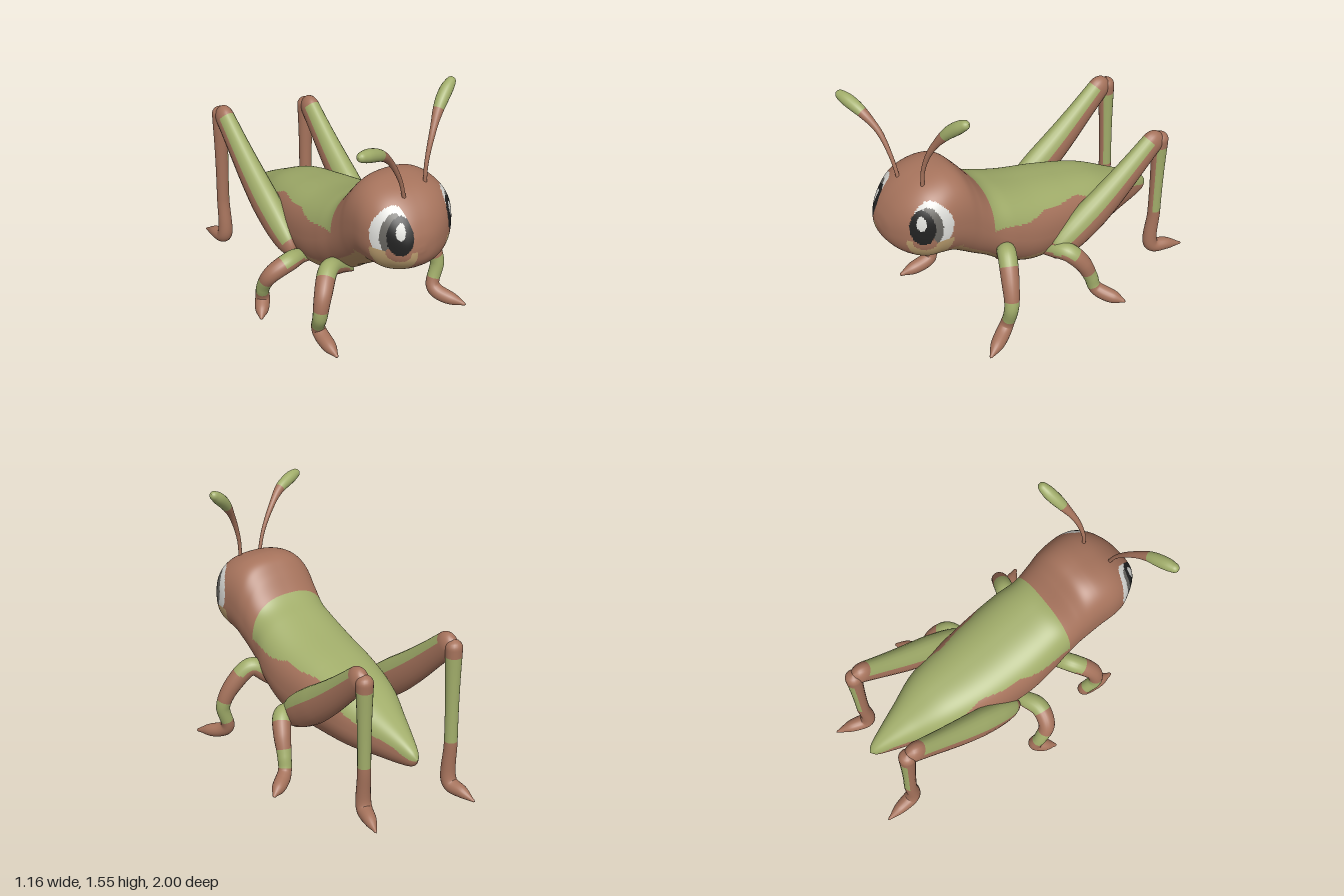
import * as THREE from 'three';

const mat = (name, color) => {
  const m = new THREE.MeshStandardMaterial({ color });
  m.name = name;
  return m;
};
const materials = [
  mat('brown', 0xa6735c), mat('green', 0xa1ad6a), mat('bellyTan', 0xb18d62), mat('cheekTan', 0xc0a272),
  mat('eyeWhite', 0xdcdcd8), mat('irisGrey', 0x66645f), mat('pupilBlack', 0x222222),
];
const [BROWN, GREEN, BELLY, CHEEK, WHITE, GREY, BLACK] = [0, 1, 2, 3, 4, 5, 6];
const V = (x, y, z) => new THREE.Vector3(x, y, z);

// Smooth interpolation through a list of numbers, t in 0..1
function spline(list, t) {
  const n = list.length - 1, i = Math.min(Math.floor(t * n), n - 1), f = t * n - i;
  const b = list[i], c = list[i + 1], a = list[Math.max(i - 1, 0)], d = list[Math.min(i + 2, n)];
  return b + 0.5 * f * (c - a + f * (2 * a - 5 * b + 4 * c - d + f * (3 * (b - c) + d - a)));
}

// Skin over rings; paint(centroid, outward, t) picks the colour of each face
function skin(name, rings, centres, paint) {
  const pos = [], faces = materials.map(() => []), n = rings[0].length;
  rings.forEach((ring) => ring.forEach((p) => pos.push(p.x, p.y, p.z)));
  for (let i = 0; i < rings.length - 1; i++) {
    for (let j = 0; j < n; j++) {
      const k = (j + 1) % n;
      const mid = V(0, 0, 0).add(rings[i][j]).add(rings[i][k]).add(rings[i + 1][j]).add(rings[i + 1][k]).multiplyScalar(0.25);
      const out = mid.clone().sub(centres[i]).normalize();
      const a = i * n + j, b = i * n + k;
      faces[paint(mid, out, i / (rings.length - 1))].push(a, b, b + n, a, b + n, a + n);
    }
  }
  const geo = new THREE.BufferGeometry();
  geo.setAttribute('position', new THREE.Float32BufferAttribute(pos, 3));
  const index = [], used = [];
  faces.forEach((f, m) => {
    if (!f.length) return;
    geo.addGroup(index.length, f.length, used.length);
    used.push(materials[m]);
    for (const v of f) index.push(v);
  });
  geo.setIndex(index);
  geo.computeVertexNormals();
  const mesh = new THREE.Mesh(geo, used);
  mesh.name = name;
  return mesh;
}

// Tapered limb along a curve, with rounded ends
function limb(name, points, radii, paint, flat = 1) {
  const steps = 120, sides = 20;
  const curve = new THREE.CatmullRomCurve3(points.map((p) => V(...p)));
  const frames = curve.computeFrenetFrames(steps, false), length = curve.getLength();
  const rings = [], centres = [];
  for (let i = 0; i <= steps; i++) {
    const c = curve.getPointAt(i / steps), ring = [];
    let r = Math.max(spline(radii, i / steps), 0.0005);
    const toEnd = Math.min(i, steps - i) / steps * length;
    if (toEnd < r) r = Math.max(Math.sqrt(toEnd * (2 * r - toEnd)), 0.0005);
    for (let j = 0; j < sides; j++) {
      const a = (j / sides) * Math.PI * 2;
      const o = V(0, 0, 0).addScaledVector(frames.normals[i], r * Math.cos(a)).addScaledVector(frames.binormals[i], r * Math.sin(a));
      o.x *= flat;
      const p = o.add(c);
      p.y = Math.max(p.y, 0);
      ring.push(p);
    }
    rings.push(ring);
    centres.push(c);
  }
  return skin(name, rings, centres, paint);
}

// Body stations from tail to face: z, top, bottom, half width, centre x
const stations = [
  [-0.875, 0.3405, 0.3395, 0.0005, 0], [-0.84, 0.39, 0.29, 0.035, 0], [-0.75, 0.45, 0.265, 0.075, 0],
  [-0.6, 0.53, 0.245, 0.135, 0], [-0.4, 0.625, 0.222, 0.215, 0], [-0.15, 0.69, 0.208, 0.265, -0.01],
  [0.1, 0.75, 0.205, 0.29, -0.01], [0.28, 0.815, 0.275, 0.285, -0.01], [0.4, 0.875, 0.36, 0.268, -0.015],
  [0.5, 0.99, 0.425, 0.268, -0.015], [0.57, 1.06, 0.475, 0.275, -0.015], [0.65, 1.08, 0.525, 0.28, -0.015],
  [0.74, 1.068, 0.55, 0.282, -0.015], [0.82, 1.04, 0.56, 0.266, -0.015], [0.89, 0.99, 0.59, 0.222, -0.02],
  [0.945, 0.925, 0.63, 0.165, -0.035], [0.982, 0.85, 0.68, 0.098, -0.055], [0.996, 0.79, 0.735, 0.035, -0.07],
  [0.998, 0.7605, 0.7595, 0.0005, -0.07],
];
const inside = (u, y, cu, cy, ru, ry) => ((u - cu) / ru) ** 2 + ((y - cy) / ry) ** 2 < 1;

function paintBody(p) {
  const { x, y, z } = p;
  if (z > 0.62) {
    // Face: u is the angle away from the slightly turned nose
    const u = Math.abs(Math.atan2(x + 0.02, z - 0.72) - 0.19);
    if (inside(u, y, 0.79, 0.875, 0.1, 0.045)) return WHITE;
    if (inside(u, y, 0.8, 0.845, 0.27, 0.107)) return BLACK;
    if (inside(u, y, 0.83, 0.745, 0.25, 0.05)) return BROWN;
    if (inside(u, y, 0.95, 0.845, 0.27, 0.12) && y > 0.755) return GREY;
    if (inside(u, y, 1.0, 0.85, 0.45, 0.145) && y > 0.755) return WHITE;
    if (inside(u, y, 0.95, 0.73, 0.5, 0.135) && y < 0.755) return CHEEK;
    return y < 0.61 + 0.03 * Math.min(u, 1) ? BELLY : BROWN;
  }
  // Green back with a wavy lower edge that falls towards the tail
  const edge = spline([0.34, 0.385, 0.44, 0.49, 0.57, 0.62, 0.635, 0.635, 0.64, 0.655], Math.min((z + 0.88) / 1.3, 1));
  if (z < 0.42 && y > edge + 0.008 * Math.sin(z * 24)) return GREEN;
  if (z > -0.03 && y < 0.36 + Math.max(0, z - 0.28) * 0.75) return BELLY;
  return BROWN;
}

function makeBody() {
  const rings = [], centres = [], steps = 220, sides = 150;
  const round = (v, e) => Math.sign(v) * Math.abs(v) ** e;
  for (let i = 0; i <= steps; i++) {
    const [z, top, bottom, w, cx] = [0, 1, 2, 3, 4].map((k) => spline(stations.map((s) => s[k]), i / steps));
    const cy = (top + bottom) / 2, h = (top - bottom) / 2, ring = [];
    // Boxier back, rounder belly, fuller jaw
    const under = 1 - 0.14 * THREE.MathUtils.smoothstep(z, 0.3, 0.6);
    for (let j = 0; j < sides; j++) {
      const a = (j / sides) * Math.PI * 2, e = Math.sin(a) > 0 ? 0.8 : under;
      ring.push(V(cx + w * round(Math.cos(a), e), cy + h * round(Math.sin(a), e), z));
    }
    rings.push(ring);
    centres.push(V(cx, cy, z));
  }
  return skin('bodyAndHead', rings, centres, paintBody);
}

export function createModel() {
  const model = new THREE.Group();
  model.name = 'grasshopper';
  model.add(makeBody());

  // Antennae with green clubs
  const antennae = {
    leftAntenna: [[0.09, 1.0, 0.79], [0.1, 1.14, 0.785], [0.15, 1.29, 0.76], [0.23, 1.42, 0.71], [0.3, 1.49, 0.675], [0.365, 1.54, 0.65]],
    rightAntenna: [[-0.08, 1.0, 0.84], [-0.12, 1.13, 0.855], [-0.2, 1.27, 0.88], [-0.29, 1.355, 0.92], [-0.38, 1.395, 0.95], [-0.475, 1.42, 0.98]],
  };
  for (const [name, path] of Object.entries(antennae)) {
    model.add(limb(name, path, [0.011, 0.011, 0.012, 0.014, 0.017, 0.021, 0.029, 0.036, 0.036, 0.024],
      (p, d, t) => (t > 0.69 ? GREEN : BROWN)));
  }

  // Front and middle legs: hip, knee, shin, ankle, toe
  const smallLegs = {
    leftFrontLeg: [[0.08, 0.3, 0.3], [0.2, 0.43, 0.33], [0.29, 0.505, 0.37], [0.4, 0.39, 0.42], [0.455, 0.25, 0.45], [0.42, 0.085, 0.47], [0.53, 0.015, 0.65]],
    rightFrontLeg: [[-0.06, 0.29, 0.32], [-0.19, 0.38, 0.37], [-0.3, 0.425, 0.43], [-0.4, 0.33, 0.525], [-0.425, 0.21, 0.535], [-0.4, 0.08, 0.48], [-0.41, 0.015, 0.695]],
    leftMiddleLeg: [[0.12, 0.27, 0.05], [0.24, 0.34, 0.02], [0.34, 0.36, -0.03], [0.39, 0.28, -0.1], [0.41, 0.17, -0.15], [0.43, 0.075, -0.18], [0.58, 0.015, -0.29]],
    rightMiddleLeg: [[-0.15, 0.27, 0.05], [-0.28, 0.33, 0.08], [-0.39, 0.34, 0.12], [-0.49, 0.28, 0.1], [-0.51, 0.17, 0.04], [-0.5, 0.075, 0.015], [-0.575, 0.015, 0.125]],
  };
  for (const [name, path] of Object.entries(smallLegs)) {
    model.add(limb(name, path, [0.012, 0.03, 0.046, 0.055, 0.056, 0.053, 0.047, 0.042, 0.04, 0.044, 0.038, 0.008],
      (p, d, t) => ((t < 0.38 && d.y > 0.05) || (t > 0.57 && t < 0.71) ? GREEN : BROWN)));
  }

  // Jumping legs: thick thigh, thin shin with a pointed foot
  const hindLegs = [
    ['left', [0.27, 0.31, 0.04], [0.28, 0.905, -0.745], [0.265, 0.06, -0.735], [0.325, 0.015, -0.93]],
    ['right', [-0.29, 0.32, 0.03], [-0.31, 0.97, -0.785], [-0.305, 0.06, -0.8], [-0.33, 0.015, -1.0]],
  ];
  for (const [side, hip, knee, ankle, toe] of hindLegs) {
    const between = (a, b, t) => a.map((v, i) => v + (b[i] - v) * t);
    const middle = between(hip, knee, 0.5);
    middle[1] -= 0.03;
    const leg = new THREE.Group();
    leg.name = side + 'HindLeg';
    leg.add(limb(side + 'Thigh', [hip, middle, knee],
      [0.05, 0.085, 0.103, 0.11, 0.112, 0.108, 0.102, 0.095, 0.088, 0.082, 0.077, 0.072],
      (p, d, t) => (t > 0.06 && t < 0.91 && d.y * 0.8 + d.z * 0.6 > 0.55 ? GREEN : BROWN), 0.7));
    leg.add(limb(side + 'Shin', [knee, between(knee, ankle, 0.35), between(knee, ankle, 0.7), ankle, between(ankle, toe, 0.5), toe],
      [0.052, 0.049, 0.045, 0.042, 0.04, 0.039, 0.039, 0.04, 0.043, 0.046, 0.036, 0.006],
      (p, d) => (p.y > 0.33 && p.y < knee[1] - 0.1 && d.x - 0.8 * d.z > -0.2 ? GREEN : BROWN)));
    model.add(leg);
  }
  return model;
}
